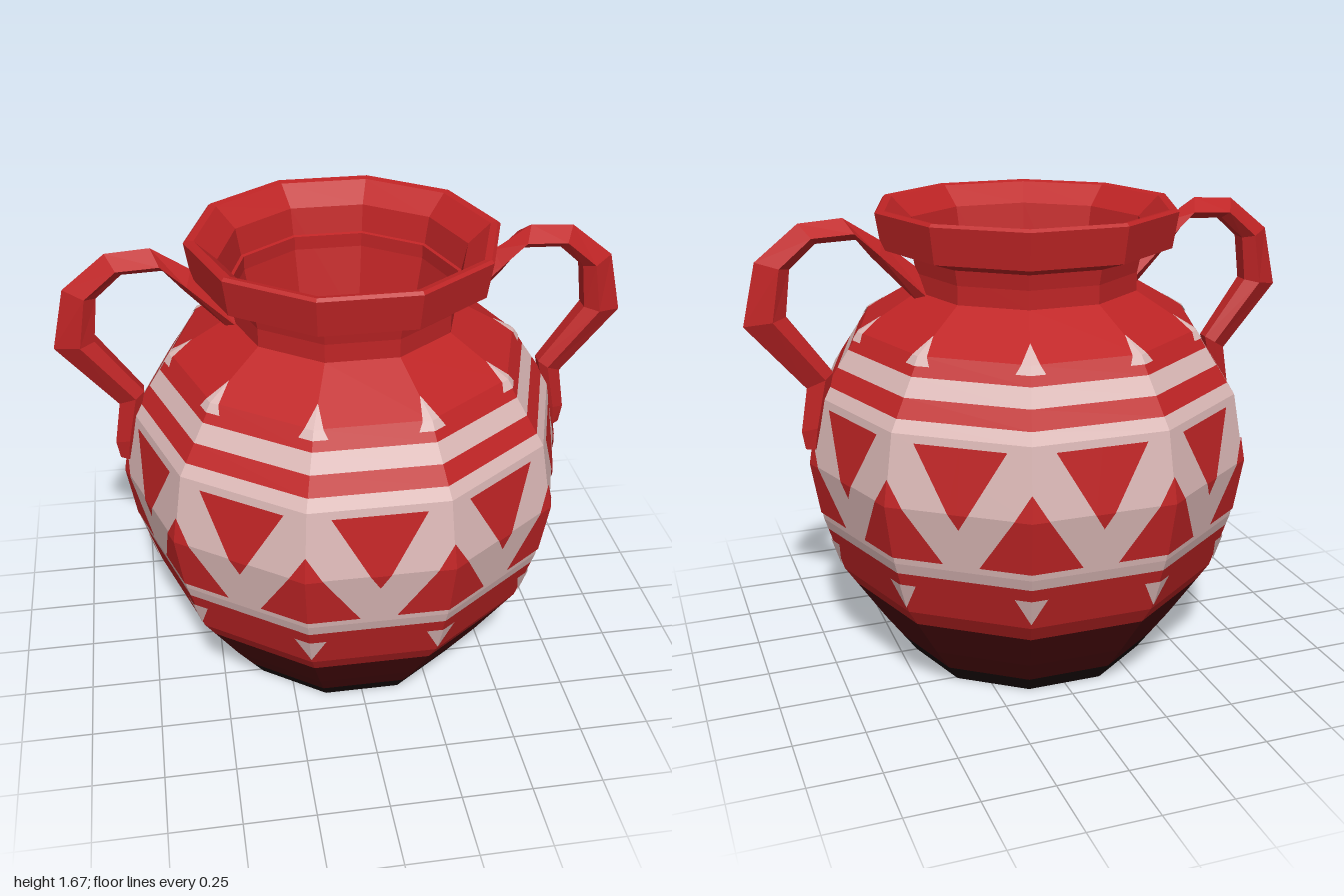
import * as THREE from 'three';

const SIDES = 10;
const STEP = (Math.PI * 2) / SIDES;
const START = Math.PI / 10; // puts a corner on the x axis

// Body profile, [radius, height]
const BODY = [[0.44, 0], [0.555, 0.16], [0.7, 0.38], [0.765, 0.585], [0.8, 0.8], [0.757, 1.04], [0.61, 1.26], [0.4, 1.385]];
const NECK = [[0.4, 1.385], [0.4, 1.5], [0.52, 1.54], [0.54, 1.665], [0.53, 1.675], [0.505, 1.67],
  [0.43, 1.6], [0.34, 1.15], [0, 0.8]];

const paint = (name, color) => new THREE.MeshStandardMaterial({ name, color, flatShading: true, side: THREE.DoubleSide });

function radiusAt(y) {
  for (let i = 1; i < BODY.length; i++) {
    const [r0, y0] = BODY[i - 1], [r1, y1] = BODY[i];
    if (y <= y1) return r0 + ((r1 - r0) * (y - y0)) / (y1 - y0);
  }
  return BODY[BODY.length - 1][0];
}

// Heights from a to b, including every profile crease between them
const rows = (a, b) => [a, ...BODY.map((p) => p[1]).filter((y) => y > a && y < b), b];

function lathe(name, points, material) {
  const pts = points.map(([r, y]) => new THREE.Vector2(r, y));
  const mesh = new THREE.Mesh(new THREE.LatheGeometry(pts, SIDES, START), material);
  mesh.name = name;
  return mesh;
}

const band = (name, a, b, material, offset = 0) =>
  lathe(name, rows(a, b).map((y) => [radiusAt(y) + offset, y]), material);

// Point on the faceted wall; whole numbers of u are the corners
function wallPoint(u, y, offset) {
  const i = Math.floor(u), f = u - i, r = radiusAt(y) + offset;
  const a = START + i * STEP, b = a + STEP;
  return [
    r * (Math.sin(a) * (1 - f) + Math.sin(b) * f), y,
    r * (Math.cos(a) * (1 - f) + Math.cos(b) * f),
  ];
}

// Ring of painted triangles, each from its wide edge to its tip
function triangles(name, shift, halfWidth, wideY, tipY, material) {
  const pos = [], index = [];
  const ys = rows(Math.min(wideY, tipY), Math.max(wideY, tipY));
  for (const offset of [0.005, -0.005]) {
    for (let i = 0; i < SIDES; i++) {
      const base = pos.length / 3;
      for (const y of ys) {
        const w = (halfWidth * (y - tipY)) / (wideY - tipY);
        for (const s of [-1, 0, 1]) pos.push(...wallPoint(i + shift + s * w, y, offset));
      }
      for (let r = 0; r < ys.length - 1; r++) {
        for (let c = 0; c < 2; c++) {
          const a = base + r * 3 + c;
          index.push(a, a + 1, a + 4, a, a + 4, a + 3);
        }
      }
    }
  }
  return build(name, pos, index, material);
}

function build(name, pos, index, material) {
  const g = new THREE.BufferGeometry();
  g.setAttribute('position', new THREE.Float32BufferAttribute(pos, 3));
  g.setIndex(index);
  g.computeVertexNormals();
  const mesh = new THREE.Mesh(g, material);
  mesh.name = name;
  return mesh;
}

// Ridged handle: outer x, y, inner x, y, half width for each section
function handle(name, material) {
  const sections = [
    [0.35, 1.43, 0.4, 1.35, 0.06], [0.52, 1.57, 0.55, 1.51, 0.06], [0.65, 1.655, 0.61, 1.585, 0.06],
    [0.8, 1.645, 0.75, 1.58, 0.06], [0.95, 1.525, 0.84, 1.5, 0.058], [1, 1.31, 0.86, 1.34, 0.055],
    [0.8, 1.075, 0.71, 1.13, 0.042], [0.826, 0.92, 0.75, 0.95, 0.038], [0.815, 0.855, 0.77, 0.86, 0.025],
  ];
  const pos = [], index = [], n = 5;
  for (const [ox, oy, ix, iy, w] of sections) {
    const mx = ix + (ox - ix) * 0.35, my = iy + (oy - iy) * 0.35;
    pos.push(ox, oy, 0, mx, my, w, ix, iy, w * 0.5, ix, iy, -w * 0.5, mx, my, -w);
  }
  for (let s = 0; s < sections.length - 1; s++) {
    for (let k = 0; k < n; k++) {
      const a = s * n + k, b = s * n + ((k + 1) % n);
      index.push(a, b, b + n, a, b + n, a + n);
    }
  }
  const e = (sections.length - 1) * n;
  for (let k = 1; k < n - 1; k++) index.push(0, k + 1, k, e, e + k, e + k + 1);
  return build(name, pos, index, material);
}

export function createModel() {
  const red = paint('red clay', 0xbf2425);
  const cream = paint('pale slip', 0xdbb8b6);
  const maroon = paint('dark maroon', 0x4c0a0c);
  const black = paint('burnt black', 0x190a0a);
  const model = new THREE.Group();
  model.name = 'vase';

  // Wall in coloured bands
  const bands = [
    ['footBand', 0, 0.065, black], ['lowerBand', 0.065, 0.315, maroon], ['lowerRedBand', 0.315, 0.545, red],
    ['patternBand', 0.545, 1.08, cream], ['narrowRedBand', 1.08, 1.14, red],
    ['upperPaleBand', 1.14, 1.2, cream], ['shoulder', 1.2, 1.385, red],
  ];
  for (const b of bands) model.add(band(...b));
  model.add(band('footLining', 0.002, 0.315, red, -0.008));

  // Neck, rim and funnel-shaped inside
  model.add(lathe('neckAndRim', NECK, red));

  // Painted triangles
  model.add(
    triangles('lowerDots', 0, 0.125, 0.5, 0.4, cream),
    triangles('risingTriangles', 0, 0.37, 0.61, 0.89, red),
    triangles('hangingTriangles', 0.5, 0.33, 1.015, 0.745, red),
    triangles('upperDots', 0, 0.13, 1.232, 1.31, cream),
  );

  // Handles
  const right = handle('rightHandle', red);
  right.rotation.y = Math.PI;
  model.add(handle('leftHandle', red), right);
  return model;
}
